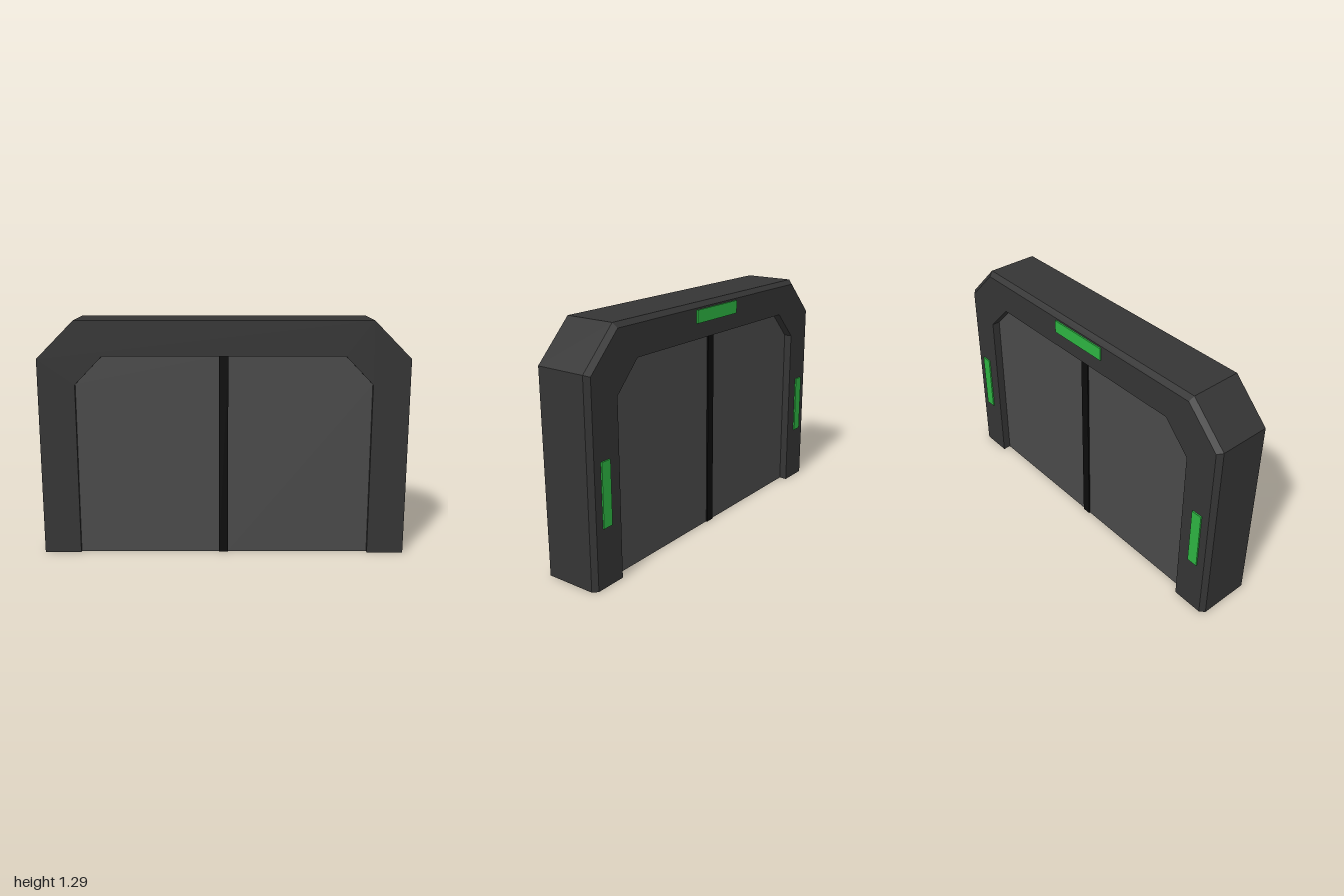
import * as THREE from 'three';

const mat = (color) => new THREE.MeshStandardMaterial({ color, flatShading: true });

export function createModel() {
  const model = new THREE.Group();
  model.name = 'gate';
  // the whole gate is turned very slightly about the vertical axis
  const body = new THREE.Group();
  body.name = 'gateBody';
  body.rotation.y = -0.011;
  model.add(body);

  const add = (name, geometry, material, x = 0, y = 0, z = 0) => {
    const mesh = new THREE.Mesh(geometry, material);
    mesh.name = name;
    mesh.position.set(x, y, z);
    body.add(mesh);
    return mesh;
  };
  const shapeOf = (pts) => new THREE.Shape(pts.map(([x, y]) => new THREE.Vector2(x, y)));

  const frameMat = mat(0x353535);
  const doorMat = mat(0x4a4a4a);
  const sealMat = mat(0x0c0c0c);
  const lightMat = mat(0x2db442);

  // Frame: arch with cut corners, outer rim chamfered at the back
  const half = [[0.8, 0], [1, 0], [1, 1.09], [0.795, 1.295]];
  const inner = [[0.8, 0.95], [0.65, 1.105]];
  const mirror = (pts) => pts.map(([x, y]) => [-x, y]).reverse();
  const arch = [...half, ...mirror(half), ...mirror(inner).reverse(), ...inner.slice().reverse()];
  const frame = new THREE.ExtrudeGeometry(shapeOf(arch), { depth: 2, steps: 2, bevelEnabled: false });
  const layers = [-0.15, -0.126, 0.157];
  const p = frame.attributes.position;
  for (let i = 0; i < p.count; i++) {
    const layer = Math.round(p.getZ(i));
    let x = p.getX(i), y = p.getY(i);
    if (layer === 0 && (Math.abs(x) > 0.9 || y > 1.2)) {
      const side = Math.abs(x) > 0.9;
      x -= Math.sign(x) * (side ? 0.025 : 0.01);
      if (y > 0) y -= side ? 0.01 : 0.025;
    }
    p.setXYZ(i, x, y, layers[layer]);
  }
  frame.computeVertexNormals();
  add('frame', frame, frameMat);

  // Two door leaves, recessed in the frame
  const doorBack = -0.105, doorFront = 0.137;
  for (const s of [1, -1]) {
    const leaf = [[0.02, 0], [0.8, 0], [0.8, 0.95], [0.65, 1.105], [0.02, 1.105]];
    const geo = new THREE.ExtrudeGeometry(shapeOf(s > 0 ? leaf : mirror(leaf)), {
      depth: doorFront - doorBack, bevelEnabled: false,
    });
    add(s > 0 ? 'leftDoor' : 'rightDoor', geo, doorMat, 0, 0, doorBack);
  }

  // Dark seal between the leaves, slightly proud on both faces
  add('centreSeal', new THREE.BoxGeometry(0.05, 1.105, doorFront - doorBack + 0.016), sealMat,
    -0.002, 0.5525, (doorFront + doorBack) / 2);

  // Indicator lights on the back of the frame
  add('topLight', new THREE.BoxGeometry(0.36, 0.07, 0.02), lightMat, 0, 1.225, -0.148);
  for (const s of [1, -1]) {
    add(s > 0 ? 'leftLight' : 'rightLight', new THREE.BoxGeometry(0.06, 0.34, 0.02), lightMat,
      s * 0.9, 0.49, -0.148);
  }
  return model;
}
